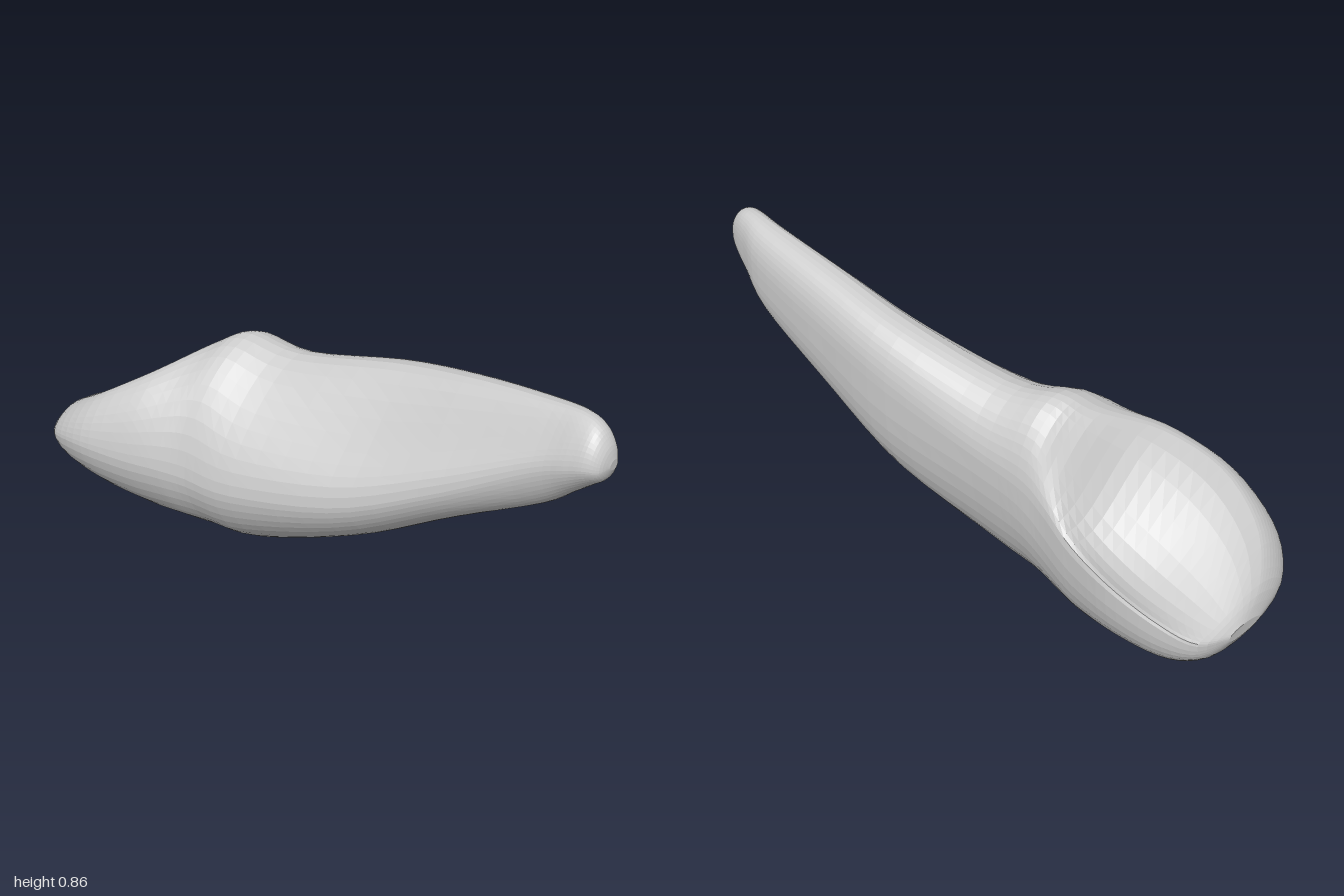
import * as THREE from 'three';

// Cross-sections from root tip to biting edge:
// z, left x,y, right x,y, top x,y, bottom x,y, depth of the hollow
const SECTIONS = [
  [1.0, 0.165, 0.738, 0.2, 0.742, 0.185, 0.757, 0.18, 0.725, 0],
  [0.985, 0.13, 0.73, 0.217, 0.748, 0.185, 0.8, 0.175, 0.69, 0],
  [0.95, 0.108, 0.73, 0.235, 0.75, 0.187, 0.84, 0.175, 0.66, 0],
  [0.89, 0.1, 0.71, 0.255, 0.74, 0.195, 0.855, 0.175, 0.61, 0.01],
  [0.78, 0.085, 0.66, 0.285, 0.7, 0.2, 0.845, 0.175, 0.52, 0.03],
  [0.5, 0.005, 0.5, 0.308, 0.64, 0.2, 0.805, 0.14, 0.365, 0.065],
  [0.2, -0.09, 0.36, 0.318, 0.57, 0.19, 0.745, 0.09, 0.19, 0.075],
  [-0.15, -0.185, 0.29, 0.28, 0.48, 0.13, 0.667, 0.05, 0.04, 0.03],
  [-0.33, -0.215, 0.29, 0.265, 0.44, 0.09, 0.686, 0.04, 0.01, 0],
  [-0.42, -0.252, 0.3, 0.262, 0.39, 0.04, 0.643, 0.04, 0.003, 0.04],
  [-0.54, -0.29, 0.3, 0.275, 0.325, -0.12, 0.557, 0.04, 0.0, 0.12],
  [-0.7, -0.32, 0.3, 0.29, 0.29, -0.21, 0.45, 0.04, 0.015, 0.12],
  [-0.86, -0.285, 0.26, 0.268, 0.24, -0.18, 0.345, 0.05, 0.04, 0.075],
  [-0.96, -0.19, 0.2, 0.205, 0.185, -0.08, 0.255, 0.05, 0.093, 0.025],
  [-1.0, -0.04, 0.172, 0.1, 0.17, 0.03, 0.19, 0.05, 0.152, 0],
];

const QUARTER = 11;
const RINGS = 60;

// Smooth blend of the section table at t in 0..1
function sectionAt(t) {
  const last = SECTIONS.length - 1;
  const f = t * last;
  const i = Math.min(Math.floor(f), last - 1);
  const u = f - i;
  const row = (k) => SECTIONS[Math.max(0, Math.min(last, k))];
  return row(i).map((p1, c) => {
    const p0 = row(i - 1)[c], p2 = row(i + 1)[c], p3 = row(i + 2)[c];
    return p1 + 0.5 * u * (p2 - p0 + u * (2 * p0 - 5 * p1 + 4 * p2 - p3 + u * (3 * (p1 - p2) + p3 - p0)));
  });
}

// Closed outline through the four extremes, counter-clockwise from +x
function outline([z, lx, ly, rx, ry, tx, ty, bx, by, hollow]) {
  const points = [];
  const root = THREE.MathUtils.smoothstep(z, -0.2, 0.3);
  const crown = THREE.MathUtils.smoothstep(-z, 0.25, 0.5);
  // The hollow lies on the tongue side of the crown and on the -x flank of the root
  const hollowQuarter = z < -0.33 ? 0 : 1;
  // [side x, side y, end x, end y, starts at the side, roundness]
  const quarters = [
    [rx, ry, tx, ty, true, 2 + 0.5 * root],
    [lx, ly, tx, ty, false, 1.75],
    [lx, ly, bx, by, true, 1.75],
    [rx, ry, bx, by, false, 2 + 0.7 * root + 0.5 * crown],
  ];
  quarters.forEach(([sx, sy, ex, ey, fromSide, power], q) => {
    for (let k = 0; k < QUARTER; k++) {
      const s = fromSide ? k / QUARTER : 1 - k / QUARTER;
      const a = s * Math.PI / 2;
      const x = ex + (sx - ex) * Math.pow(Math.max(0, Math.cos(a)), 2 / power);
      let y = sy + (ey - sy) * Math.pow(Math.sin(a), 2 / power);
      if (q === hollowQuarter) y -= hollow * Math.sin(Math.PI * s) ** 2;
      points.push([x, y, z]);
    }
  });
  return points;
}

function toothGeometry() {
  const n = QUARTER * 4;
  const positions = [];
  const indices = [];
  for (let i = 0; i <= RINGS; i++) {
    for (const p of outline(sectionAt(i / RINGS))) positions.push(...p);
  }
  for (let i = 0; i < RINGS; i++) {
    for (let j = 0; j < n; j++) {
      const a = i * n + j, b = i * n + (j + 1) % n;
      indices.push(a, a + n, b, b, a + n, b + n);
    }
  }
  // Close both ends with fans
  for (const ring of [0, RINGS]) {
    const s = SECTIONS[ring ? SECTIONS.length - 1 : 0];
    const center = positions.length / 3;
    positions.push((s[1] + s[3]) / 2, (s[6] + s[8]) / 2, s[0]);
    for (let j = 0; j < n; j++) {
      const a = ring * n + j, b = ring * n + (j + 1) % n;
      indices.push(center, ring ? b : a, ring ? a : b);
    }
  }
  const geometry = new THREE.BufferGeometry();
  geometry.setAttribute('position', new THREE.Float32BufferAttribute(positions, 3));
  geometry.setIndex(indices);
  geometry.computeVertexNormals();
  return geometry;
}

export function createModel() {
  const group = new THREE.Group();
  group.name = 'tooth';
  const material = new THREE.MeshStandardMaterial({ color: 0xcccccc, flatShading: true });
  const tooth = new THREE.Mesh(toothGeometry(), material);
  tooth.name = 'crownAndRoot';
  group.add(tooth);
  return group;
}
